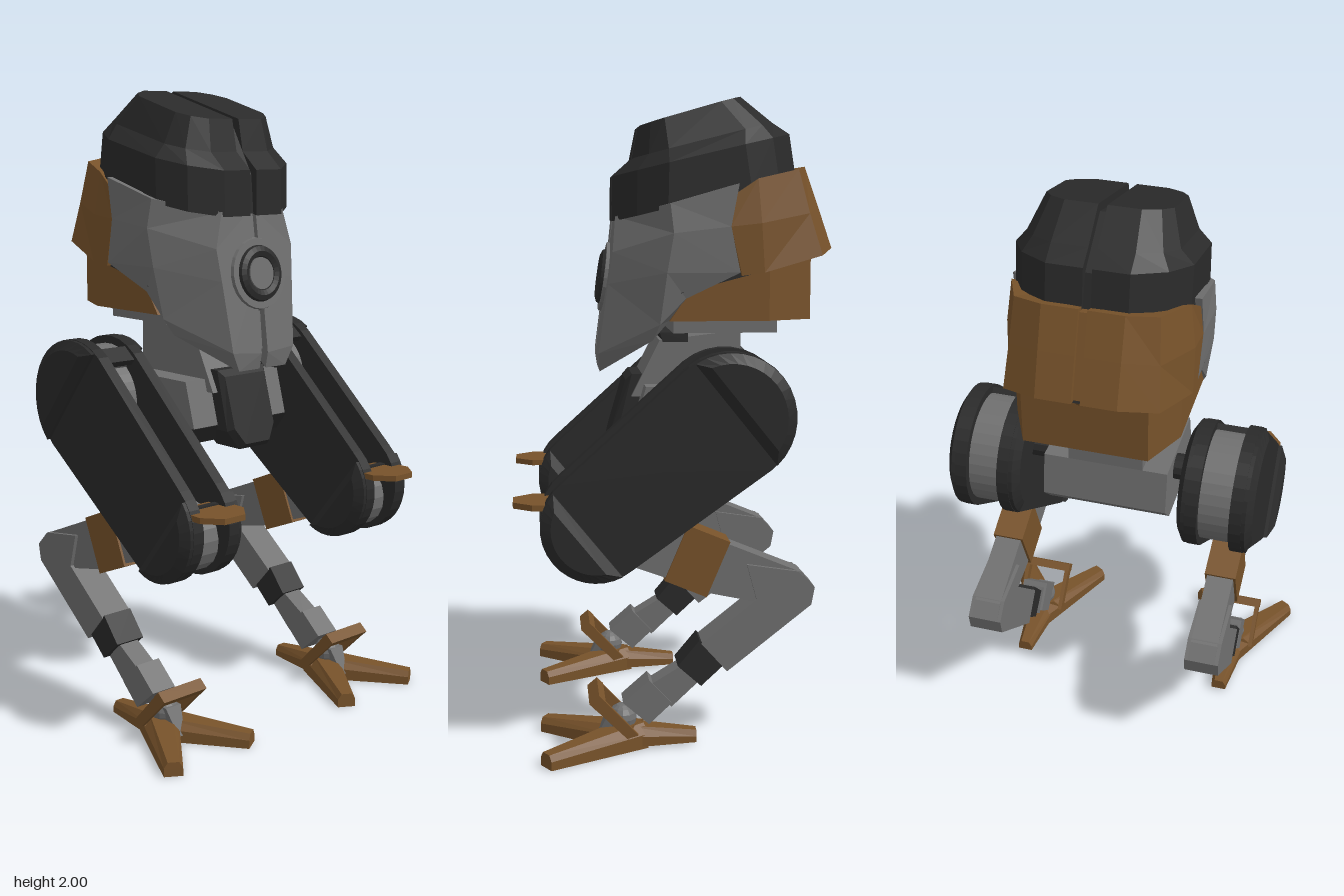
import * as THREE from 'three';

const material = (name, color) => Object.assign(new THREE.MeshStandardMaterial({ color, flatShading: true }), { name });

export function createModel() {
  const dark = material('charcoal armour', 0x2a2a2a);
  const grey = material('grey metal', 0x6f6f6f);
  const brown = material('bronze armour', 0x77522a);
  const model = new THREE.Group();
  model.name = 'walker';

  // Closed faceted body through rings of [x, y, z] points, always wound outwards
  function loft(name, mat, rings, parent) {
    const tris = [];
    const n = rings[0].length;
    const centre = (r) => [0, 1, 2].map((k) => r.reduce((s, p) => s + p[k], 0) / n);
    const last = rings[rings.length - 1];
    const c0 = centre(rings[0]), c1 = centre(last);
    for (let i = 0; i < n; i++) {
      const j = (i + 1) % n;
      for (let k = 0; k < rings.length - 1; k++) {
        const a = rings[k], b = rings[k + 1];
        tris.push([a[i], a[j], b[j]], [a[i], b[j], b[i]]);
      }
      tris.push([c0, rings[0][j], rings[0][i]], [c1, last[i], last[j]]);
    }
    const v = (p) => new THREE.Vector3(...p).sub(new THREE.Vector3(...c0));
    const volume = tris.reduce((s, [a, b, c]) => s + v(a).dot(v(b).cross(v(c))), 0);
    if (volume < 0) tris.forEach((t) => t.reverse());
    const g = new THREE.BufferGeometry();
    g.setAttribute('position', new THREE.Float32BufferAttribute(tris.flat(2), 3));
    g.computeVertexNormals();
    const mesh = new THREE.Mesh(g, mat);
    mesh.name = name;
    parent.add(mesh);
  }

  // Side profile of [z, y] points extruded from x0 to x1
  const section = (pts, x) => pts.map(([z, y]) => [x, y, z]);
  const prism = (name, mat, pts, x0, x1, parent) => loft(name, mat, [section(pts, x0), section(pts, x1)], parent);

  // ---------- Head, made of mirrored halves with a groove between ----------
  const head = new THREE.Group();
  head.name = 'head';
  model.add(head);
  const G = 0.013;
  function halves(name, mat, rings) {
    for (const s of [1, -1]) {
      loft(name + (s > 0 ? 'Left' : 'Right'), mat, rings.map((r) => r.map(([x, y, z]) => [s * x, y, z])), head);
    }
  }
  // Half of a rounded octagon, tilted so that y runs evenly from the front to the back
  function halfRing(zf, yf, zb, yb, w, a, c) {
    const y = (z) => yf + (yb - yf) * (zf - z) / (zf - zb);
    const m = a + (w - a) * 0.65;
    return [[G, zf], [a, zf], [m, zf - c * 0.42], [w, zf - c], [w, zb + c], [m, zb + c * 0.42], [a, zb], [G, zb]]
      .map(([x, z]) => [x, y(z), z]);
  }
  halves('dome', dark, [
    halfRing(0.185, 1.615, -0.39, 1.76, 0.26, 0.12, 0.16),
    halfRing(0.182, 1.755, -0.37, 1.885, 0.26, 0.12, 0.16),
    halfRing(0.12, 1.81, -0.315, 1.92, 0.222, 0.12, 0.1),
    halfRing(0.10, 1.91, -0.215, 2.0, 0.185, 0.11, 0.07),
  ]);
  prism('domeCore', dark, [[0.17, 1.62], [0.16, 1.74], [0.08, 1.88], [-0.2, 1.97], [-0.35, 1.86], [-0.38, 1.76]], -0.02, 0.02, head);
  prism('faceCore', grey, [[0.165, 1.63], [0.19, 1.45], [0.215, 1.2], [0.04, 1.3], [-0.1, 1.63]], -0.02, 0.02, head);
  prism('backCore', brown, [[-0.2, 1.72], [-0.41, 1.77], [-0.49, 1.53], [-0.41, 1.45], [-0.2, 1.45]], -0.02, 0.02, head);

  // Dark body behind the plates, seen in the seams and under the back overhang
  const body = (k, y0, slope) => [[0.1, -0.49], [0.21, -0.445], [0.262, -0.27], [0.262, 0], [-0.262, 0], [-0.262, -0.27], [-0.21, -0.445], [-0.1, -0.49]]
    .map(([x, z]) => [x, y0 - z * slope, z * k]);
  loft('headBody', dark, [body(1, 1.393, 0.26), body(0.8, 1.68, 0.14)], head);

  halves('facePlate', grey, [
    [[G, 1.63, 0.18], [0.13, 1.63, 0.18], [0.275, 1.67, 0.02], [0.282, 1.73, -0.19], [G, 1.72, -0.19]],
    [[G, 1.52, 0.195], [0.16, 1.52, 0.19], [0.285, 1.58, 0.01], [0.285, 1.60, -0.165], [G, 1.6, -0.165]],
    [[G, 1.42, 0.21], [0.15, 1.42, 0.205], [0.278, 1.46, 0.03], [0.28, 1.46, -0.195], [G, 1.45, -0.195]],
    [[G, 1.19, 0.24], [0.13, 1.2, 0.235], [0.255, 1.3, 0.05], [0.257, 1.38, -0.03], [G, 1.38, -0.03]],
    [[G, 1.14, 0.23], [0.1, 1.14, 0.23], [0.23, 1.25, 0.07], [0.23, 1.31, 0.02], [G, 1.3, 0.04]],
  ]);
  halves('backArmour', brown, [
    [[G, 1.785, -0.42], [0.12, 1.785, -0.42], [0.21, 1.775, -0.385], [0.265, 1.745, -0.25], [0.279, 1.70, -0.18], [G, 1.70, -0.18]],
    [[G, 1.66, -0.465], [0.12, 1.66, -0.465], [0.22, 1.64, -0.42], [0.282, 1.61, -0.26], [0.284, 1.6, -0.165], [G, 1.6, -0.165]],
    [[G, 1.53, -0.51], [0.12, 1.53, -0.51], [0.23, 1.51, -0.46], [0.282, 1.46, -0.27], [0.28, 1.45, -0.2], [G, 1.45, -0.2]],
  ]);
  const jaw = (y0, slope, front) => [[0.19, -0.43], [0.255, -0.29], [0.253, front], [-0.253, front], [-0.255, -0.29], [-0.19, -0.43]]
    .map(([x, z]) => [x, y0 - z * slope, z]);
  loft('lowerBackArmour', brown, [jaw(1.31, 0, 0.02), jaw(1.40, 0.27, -0.05)], head);

  // Round sensor on the face
  const eye = new THREE.Group();
  eye.name = 'sensor';
  eye.position.set(0, 1.435, 0.195);
  eye.rotation.x = -0.14;
  head.add(eye);
  const disc = (name, r0, r1, z, h) => {
    const m = new THREE.Mesh(new THREE.CylinderGeometry(r1, r0, h, 24).rotateX(Math.PI / 2), grey);
    m.name = name;
    m.position.z = z;
    eye.add(m);
  };
  disc('sensorBase', 0.12, 0.11, 0, 0.04);
  disc('sensorLens', 0.05, 0.05, 0.015, 0.03);
  const rim = new THREE.Mesh(new THREE.TorusGeometry(0.069, 0.022, 8, 28), dark);
  rim.name = 'sensorRim';
  rim.position.z = 0.014;
  eye.add(rim);

  // ---------- Neck and pelvis ----------
  const pelvis = new THREE.Group();
  pelvis.name = 'pelvis';
  model.add(pelvis);
  prism('neckPlate', grey, [[0, 1.31], [-0.33, 1.31], [-0.33, 1.265], [0, 1.265]], -0.16, 0.16, pelvis);
  prism('neck', grey, [[0.04, 1.24], [-0.22, 1.27], [-0.22, 1.06], [0.13, 1.06]], -0.12, 0.12, pelvis);
  prism('neckCollar', dark, [[0.04, 1.265], [-0.05, 1.265], [-0.05, 1.235], [0.03, 1.235]], -0.13, 0.13, pelvis);
  prism('hipBlock', grey, [[0.09, 1.1], [-0.22, 1.1], [-0.24, 0.96], [-0.18, 0.9], [0.06, 0.9], [0.13, 0.955]], -0.2, 0.2, pelvis);
  prism('hipSkid', dark, [[0.02, 0.95], [0.135, 0.955], [0.09, 0.897], [0.02, 0.897]], -0.201, 0.201, pelvis);
  const snout = (z, s) => [[-0.1, 1.13], [0.1, 1.13], [0.1, 0.94], [0.06, 0.88], [-0.06, 0.88], [-0.1, 0.94]]
    .map(([x, y]) => [x * s, 1 + (y - 1) * s, z + (y - 1) * -0.25]);
  loft('hipNose', dark, [snout(0.05, 1), snout(0.16, 1), snout(0.18, 0.85)], pelvis);
  const axle = new THREE.Mesh(new THREE.CylinderGeometry(0.042, 0.042, 0.6, 12).rotateZ(Math.PI / 2), dark);
  axle.name = 'hipAxle';
  axle.position.set(0, 1.045, -0.1);
  pelvis.add(axle);

  // ---------- Legs ----------
  const hip = [-0.143, 1.035], knee = [0.258, 0.713];
  const tilt = Math.atan2(knee[1] - hip[1], knee[0] - hip[0]);
  const H = Math.PI / 2;
  // Point at distance t along the thigh and n across it
  const along = (t, n, o = hip) => [o[0] + t * Math.cos(tilt) - n * Math.sin(tilt), o[1] + t * Math.sin(tilt) + n * Math.cos(tilt)];
  const arc = (c, r, start, sweep = Math.PI) => Array.from({ length: 17 }, (_, i) => {
    const a = start + sweep * i / 16;
    return along(r * Math.cos(a), r * Math.sin(a), c);
  });
  const quad = (t0, t1, n0, n1) => [along(t0, n0), along(t1, n0), along(t1, n1), along(t0, n1)];

  function buildLeg(name, x) {
    const side = Math.sign(x);
    const leg = new THREE.Group();
    leg.name = name;
    leg.position.x = x;
    model.add(leg);

    // Thigh side plates with chamfered pods at both ends
    for (const s of [1, -1]) {
      prism('thighPlate', dark, [...arc(hip, 0.2, H), ...arc(knee, 0.17, -H)], s * 0.05, s * 0.088, leg);
      // d is the distance of the pod's straight edge from the joint, towards the rounded end
      const pod = (label, c, r, start, d) => {
        const shape = (q, e) => arc(c, q, start + Math.asin(e / q), Math.PI - 2 * Math.asin(e / q));
        loft(label, dark, [section(shape(r, d), s * 0.085), section(shape(r, d), s * 0.1), section(shape(r - 0.03, d + 0.03), s * 0.118)], leg);
      };
      pod('hipPod', hip, 0.198, H, 0.02);
      pod('kneePod', knee, 0.168, -H, 0.035);
    }
    // Wheels and beam set back in the channel between the plates
    prism('hipWheel', grey, arc(hip, 0.175, H), -0.051, 0.051, leg);
    prism('hipWheelFront', grey, arc(hip, 0.14, -H), -0.051, 0.051, leg);
    prism('hipBridge', dark, quad(-0.045, 0.015, 0.165, 0.188), -0.051, 0.051, leg);
    prism('thighCore', dark, quad(0.02, 0.365, -0.16, 0.03), -0.051, 0.051, leg);
    prism('thighInset', grey, quad(0.1, 0.28, 0, 0.05), -0.044, 0.044, leg);
    prism('kneeWheel', grey, arc([0.275, 0.67], 0.105, 0, Math.PI * 15 / 8), -0.051, 0.051, leg);
    prism('kneeBridge', dark, quad(0.36, 0.5, -0.165, -0.1), -0.051, 0.051, leg);

    // Knee guard with its clamp
    const guard = (y) => [[-0.055, 0.335], [-0.055, 0.379], [-0.086, 0.38], [-0.086, 0.45], [-0.04, 0.507], [0.04, 0.507], [0.086, 0.45], [0.086, 0.38], [0.055, 0.379], [0.055, 0.335]]
      .map(([px, z]) => [px, y, z]);
    loft('kneeGuard', brown, [guard(0.767), guard(0.785)], leg);
    prism('guardClamp', dark, [[0.36, 0.78], [0.38, 0.78], [0.38, 0.79], [0.36, 0.79]], -0.087, 0.087, leg);

    // Backward calf and shin
    prism('calf', grey, [[0.12, 0.72], [0, 0.7], [-0.14, 0.645], [-0.37, 0.55], [-0.41, 0.505], [-0.23, 0.46], [-0.09, 0.49], [0.04, 0.54], [0.15, 0.58]], -0.044, 0.044, leg);
    const sleeve = new THREE.Mesh(new THREE.BoxGeometry(0.104, 0.185, 0.14), brown);
    sleeve.name = 'calfSleeve';
    sleeve.position.set(0, 0.593, -0.048);
    sleeve.rotation.x = -0.4;
    leg.add(sleeve);
    prism('shank', grey, [[-0.36, 0.555], [-0.41, 0.505], [-0.40, 0.45], [-0.14, 0.245], [-0.06, 0.335], [-0.23, 0.47], [-0.2, 0.58]], -0.056, 0.056, leg);
    prism('shinSleeve', dark, [[-0.055, 0.345], [-0.13, 0.265], [-0.06, 0.2], [0.012, 0.265]], -0.053, 0.053, leg);
    prism('shin', grey, [[0, 0.26], [-0.05, 0.205], [0.03, 0.13], [0.1, 0.2]], -0.036, 0.036, leg);
    prism('ankleBlock', grey, [[0.1, 0.22], [0.03, 0.145], [0.1, 0.08], [0.18, 0.15]], -0.045, 0.045, leg);
    const ball = new THREE.Mesh(new THREE.SphereGeometry(0.045, 12, 8), grey);
    ball.name = 'ankleJoint';
    ball.position.set(0, 0.09, 0.18);
    leg.add(ball);
    const spur = (y, z, w) => [[-w, y, z], [w, y, z], [w, y, 0.17], [-w, y, 0.17]];
    loft('ankleSpur', grey, [spur(0.11, 0.225, 0.03), spur(0.025, 0.265, 0.012)], leg);

    // Ankle hoop
    prism('ankleHoopTop', brown, [[0.255, 0.19], [0.285, 0.165], [0.265, 0.145], [0.235, 0.17]], -0.086, 0.086, leg);
    for (const s of [1, -1]) {
      prism('ankleHoopSide', brown, [[0.25, 0.185], [0.28, 0.16], [0.17, 0.05], [0.135, 0.06]], s * 0.07, s * 0.084, leg);
    }

    // Foot: two splayed front toes and one behind
    const toe = (label, tx, tz, y1, w0, w1) => {
      const d = new THREE.Vector2(tx, tz - 0.16).normalize();
      const ring = (cx, cz, w, y0, top) => [[-1, y0], [1, y0], [1, top * 0.6], [0.6, top], [-0.6, top], [-1, top * 0.6]]
        .map(([k, y]) => [cx + d.y * w * k, y, cz - d.x * w * k]);
      loft(label, brown, [ring(-d.x * 0.03, 0.16 - d.y * 0.03, w0, y1, 0.075), ring(tx, tz, w1, y1, 0.045)], leg);
    };
    toe('outerToe', side * 0.163, 0.418, 0, 0.062, 0.029);
    toe('innerToe', side * -0.155, 0.418, 0, 0.062, 0.029);
    toe('rearToe', 0, -0.05, 0.008, 0.055, 0.025);
  }
  buildLeg('leftLeg', 0.371);
  buildLeg('rightLeg', -0.371);
  return model;
}
